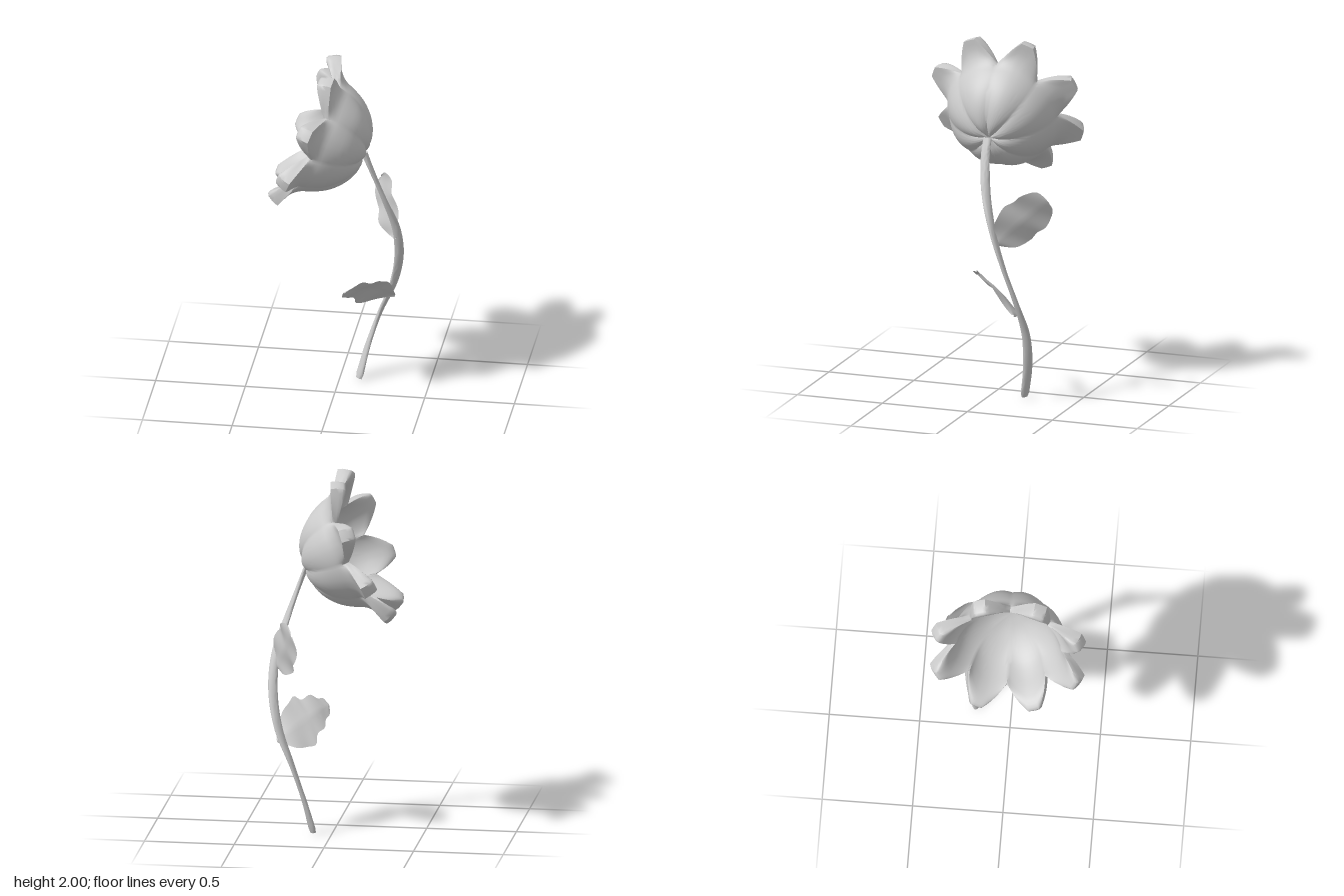
import * as THREE from 'three';
import { toCreasedNormals } from 'three/addons/utils/BufferGeometryUtils.js';

const V = (x, y, z) => new THREE.Vector3(x, y, z);

// Surface mesh from a rule point(i, j); i runs along, j runs across
function gridMesh(name, rows, cols, point, crease) {
  const pos = [], index = [];
  for (let i = 0; i <= rows; i++)
    for (let j = 0; j <= cols; j++) pos.push(...point(i, j).toArray());
  for (let i = 0; i < rows; i++)
    for (let j = 0; j < cols; j++) {
      const a = i * (cols + 1) + j, b = a + cols + 1;
      index.push(a, b, a + 1, b, b + 1, a + 1);
    }
  let geo = new THREE.BufferGeometry();
  geo.setAttribute('position', new THREE.Float32BufferAttribute(pos, 3));
  geo.setIndex(index);
  geo = toCreasedNormals(geo, crease);
  const mat = new THREE.MeshStandardMaterial({ color: 0xcccccc, side: THREE.DoubleSide });
  const mesh = new THREE.Mesh(geo, mat);
  mesh.name = name;
  return mesh;
}

const curve = (pts) => new THREE.CatmullRomCurve3(pts.map(([r, h]) => V(r, h, 0)));

// Eight fused petals: one radius/height profile on the petal middle, one in the grooves
function blossom() {
  const petals = 8, across = 20, steps = 22;
  const base = V(0.17, 1.48, 0), axis = V(-0.93, 0.37, 0), up = V(0.37, 0.93, 0), side = V(0, 0, 1);
  const outerMid = curve([[0.012, 0.012], [0.08, 0], [0.15, 0.02], [0.215, 0.063], [0.27, 0.125],
    [0.308, 0.2], [0.33, 0.255], [0.378, 0.305], [0.45, 0.335]]);
  const outerGroove = curve([[0.01, 0.02], [0.07, 0.012], [0.14, 0.03], [0.205, 0.071], [0.261, 0.13],
    [0.3, 0.2], [0.312, 0.24], [0.316, 0.265], [0.318, 0.283]]);
  // the lip rolls over from the tip into the cup
  const innerMid = curve([[0.443, 0.362], [0.412, 0.408], [0.37, 0.385], [0.33, 0.32], [0.3, 0.25],
    [0.262, 0.18], [0.2, 0.115], [0.11, 0.06], [0, 0.04]]);
  const innerGroove = curve([[0.308, 0.292], [0.296, 0.3], [0.287, 0.278], [0.278, 0.245], [0.262, 0.205],
    [0.235, 0.155], [0.18, 0.1], [0.1, 0.058], [0, 0.04]]);
  return gridMesh('blossom', 2 * steps + 1, petals * across, (i, j) => {
    const inside = i > steps;
    const t = inside ? (i - steps - 1) / steps : i / steps;
    const mid = (inside ? innerMid : outerMid).getPoint(t);
    const groove = (inside ? innerGroove : outerGroove).getPoint(t);
    // rounded bulge on the cup, blunt point at the lip
    const u = Math.abs((j % across) / across * 2 - 1);
    const lip = Math.pow(inside ? 1 - t : t, 3);
    const round = 1 - u * u, blunt = Math.pow(Math.min(1, (1 - u) / 0.8), 1.2);
    const p = groove.lerp(mid, round * (1 - lip) + blunt * lip);
    const ang = (j / (petals * across)) * Math.PI * 2;
    return base.clone().addScaledVector(axis, p.y)
      .addScaledVector(up, p.x * Math.cos(ang)).addScaledVector(side, p.x * Math.sin(ang));
  }, 0.9);
}

// Spiralling stem with an oval section, wide side pointing away from the spiral's centre
function stem() {
  const path = new THREE.CatmullRomCurve3([
    V(0.105, 0.012, -0.19), V(0.15, 0.2, -0.225), V(0.215, 0.4, -0.238), V(0.295, 0.6, -0.208),
    V(0.335, 0.8, -0.15), V(0.328, 1.0, -0.085), V(0.27, 1.2, -0.025), V(0.2, 1.4, 0.005), V(0.165, 1.49, 0.005)]);
  const rows = 60, cols = 16;
  return gridMesh('stem', rows, cols, (i, j) => {
    const t = Math.min(1, Math.max(0, (i - 1) / (rows - 2)));
    const size = i === 0 || i === rows ? 0 : (i === 1 ? 0.75 : 1);
    const p = path.getPoint(t), tan = path.getTangent(t);
    const out = V(p.x - 0.2, 0, p.z + 0.12);
    out.addScaledVector(tan, -out.dot(tan)).normalize();
    const flat = V(0, 0, 0).crossVectors(tan, out);
    const a = -(j / cols) * Math.PI * 2;
    return p.addScaledVector(out, 0.026 * size * Math.cos(a))
      .addScaledVector(flat, 0.013 * size * Math.sin(a));
  }, 1.0);
}

// Wavy leaf: half widths from stalk to tip, arched along and folded at the midrib
function leaf(name, base, tip, half, widths, arch, fold) {
  const along = tip.clone().sub(base);
  const normal = V(0, 0, 0).crossVectors(half, along).normalize();
  const shape = new THREE.CatmullRomCurve3(widths.map(([s, w]) => V(s, w, 0)));
  const rows = 32, cols = 12;
  return gridMesh(name, rows, cols, (i, j) => {
    const { x: s, y: w } = shape.getPoint(i / rows);
    const t = j / (cols / 2) - 1;
    const lift = (arch + fold * Math.abs(t)) * Math.sin(s * Math.PI) + 0.008 * t * Math.sin(s * 13 + t);
    return base.clone().addScaledVector(along, s)
      .addScaledVector(half, t * w).addScaledVector(normal, lift);
  }, 1.0);
}

export function createModel() {
  const group = new THREE.Group();
  group.name = 'flower';
  group.add(blossom(), stem());
  group.add(leaf('lowerLeaf', V(0.305, 0.53, -0.2), V(0.06, 0.67, 0.1), V(0.075, 0.115, 0.085),
    [[0, 0.05], [0.1, 0.35], [0.25, 0.75], [0.4, 0.88], [0.52, 1.0], [0.62, 0.7], [0.75, 0.68], [0.86, 0.4], [0.95, 0.33], [1, 0.05]],
    -0.03, 0.012));
  group.add(leaf('upperLeaf', V(0.33, 0.93, -0.095), V(0.205, 1.175, -0.36), V(0.055, 0.105, 0.065),
    [[0, 0.05], [0.1, 0.4], [0.25, 0.78], [0.45, 0.95], [0.6, 0.85], [0.72, 0.9], [0.84, 0.8], [0.96, 0.55], [1, 0.1]],
    0.004, 0.01));
  return group;
}
